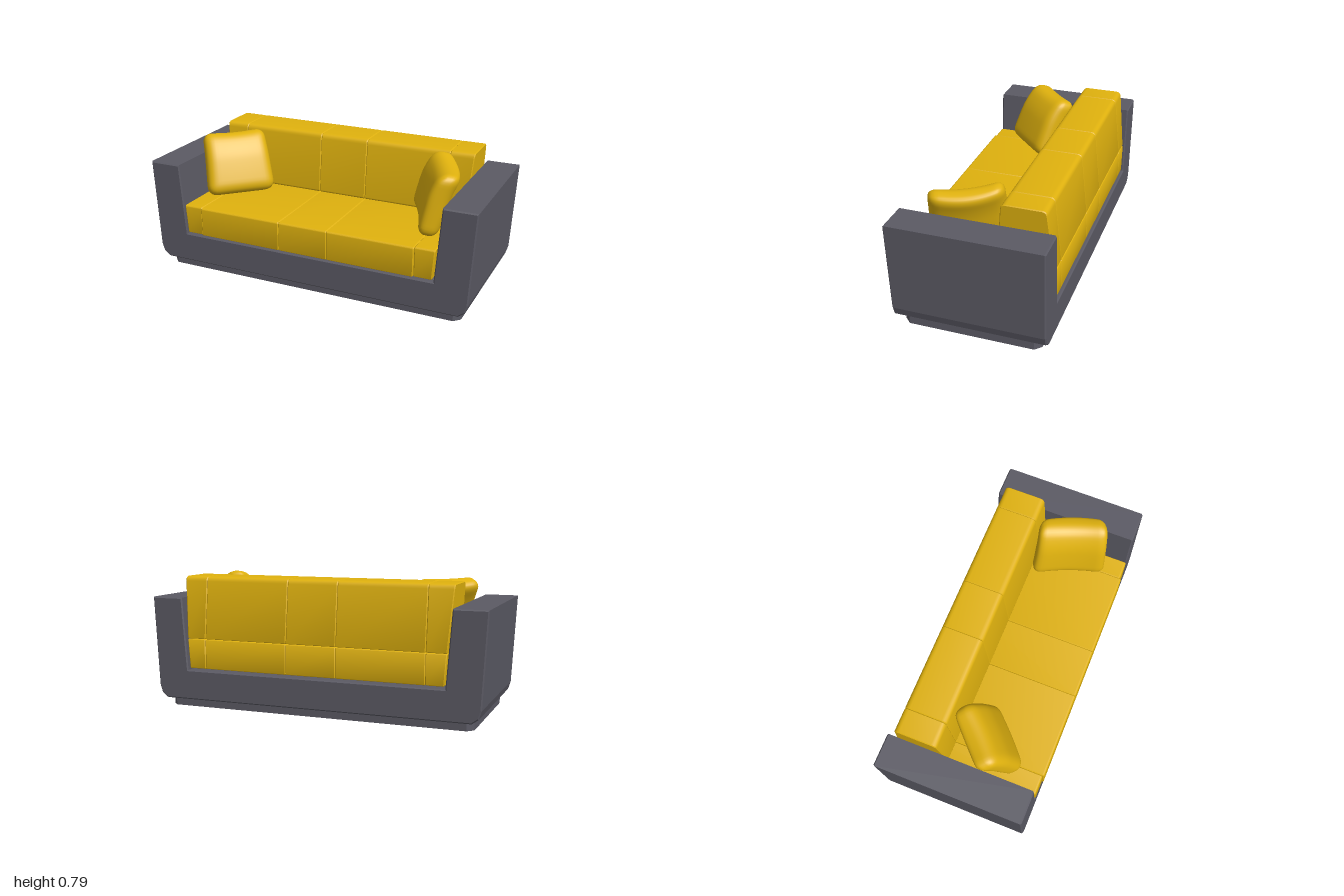
import * as THREE from 'three';
import { mergeVertices, toCreasedNormals } from 'three/addons/utils/BufferGeometryUtils.js';

const grey = new THREE.MeshStandardMaterial({ color: 0x5b5a64 });
grey.name = 'charcoal fabric';
const yellow = new THREE.MeshStandardMaterial({ color: 0xe0b20e });
yellow.name = 'mustard fabric';

function mesh(name, geometry, material) {
  const m = new THREE.Mesh(geometry, material);
  m.name = name;
  return m;
}

// Extrudes an outline to an exact depth, with small chamfers cut inside it
function extrude(shape, depth, bevel) {
  return new THREE.ExtrudeGeometry(shape, {
    depth: depth - 2 * bevel, bevelEnabled: bevel > 0, bevelSize: bevel, bevelThickness: bevel,
    bevelOffset: -bevel, bevelSegments: 1, curveSegments: 4,
  }).translate(0, 0, bevel);
}

const outline = (points) => new THREE.Shape(points.map(([x, y]) => new THREE.Vector2(x, y)));

// Polygon with every corner rounded by its own radius: [x, y, radius]
function roundedOutline(points) {
  const s = new THREE.Shape();
  const n = points.length;
  points.forEach(([x, y, r], i) => {
    const p = new THREE.Vector2(x, y);
    const toward = (q) => new THREE.Vector2(q[0], q[1]).sub(p).setLength(r).add(p);
    const a = toward(points[(i + n - 1) % n]);
    const b = toward(points[(i + 1) % n]);
    if (i) s.lineTo(a.x, a.y); else s.moveTo(a.x, a.y);
    s.quadraticCurveTo(x, y, b.x, b.y);
  });
  s.closePath();
  return s;
}

// Cushion section running along x; its outer end follows the slope of the arm
function cushion(name, shape, x0, x1) {
  const g = extrude(shape, x1 - x0, 0.005).rotateY(Math.PI / 2).translate(x0, 0, 0);
  const p = g.attributes.position;
  for (let i = 0; i < p.count; i++) {
    const x = p.getX(i);
    if (Math.abs(x) > 0.7) p.setX(i, x + Math.sign(x) * (p.getY(i) - 0.41) * 0.075);
  }
  return mesh(name, toCreasedNormals(g, 0.6), yellow);
}

// Soft pillow: rounded box, thinner at the rim, with its top curling backwards
function pillow(name, width, height, thick, bend) {
  let g = new THREE.BoxGeometry(width, height, thick, 20, 20, 8);
  g.deleteAttribute('uv');
  g.deleteAttribute('normal');
  g = mergeVertices(g);
  const p = g.attributes.position;
  const v = new THREE.Vector3();
  const r = 0.055;
  const inner = new THREE.Vector3(width / 2 - r, height / 2 - r, thick / 2 - r);
  for (let i = 0; i < p.count; i++) {
    v.fromBufferAttribute(p, i);
    const core = v.clone().clamp(inner.clone().negate(), inner);
    v.sub(core).setLength(r).add(core);
    const a = v.x / (width / 2);
    const b = v.y / (height / 2);
    v.z *= 1 - 0.12 * a * a - 0.12 * b * b;
    v.x *= 1 - 0.05 * b;
    v.y -= 0.012 * (1 - a * a) * Math.max(b, 0);
    v.z += bend * (a * a - 0.4) - 0.035 * Math.max(0, b) ** 2;
    p.setXYZ(i, v.x, v.y, v.z);
  }
  g.computeVertexNormals();
  const m = mesh(name, g, yellow);
  m.rotation.order = 'YXZ';
  return m;
}

export function createModel() {
  const sofa = new THREE.Group();
  sofa.name = 'sofa';

  // U-shaped body: two arms joined by the base
  const half = [[0.92, 0.05], [0.957, 0.077], [0.972, 0.125], [1, 0.652], [0.808, 0.652], [0.776, 0.225]];
  const mirrored = half.map(([x, y]) => [-x, y]).reverse();
  const body = mesh('bodyFrame', extrude(outline([...half, ...mirrored]), 0.865, 0.007), grey);
  body.position.z = -0.437;
  sofa.add(body);

  // Recessed plinth with cut corners
  const [px, pz, c] = [0.92, 0.392, 0.036];
  const plinthShape = outline([
    [px - c, -pz], [px, -pz + c], [px, pz - c], [px - c, pz],
    [-px + c, pz], [-px, pz - c], [-px, -pz + c], [-px + c, -pz],
  ]);
  sofa.add(mesh('plinth', extrude(plinthShape, 0.052, 0).rotateX(-Math.PI / 2), grey));

  // Seat and back, each divided by four seams; profiles use -z as their x
  const backShape = roundedOutline([
    [0.105, 0.412, 0.012], [0.422, 0.412, 0.008], [0.382, 0.776, 0.028], [0.138, 0.776, 0.03],
  ]);
  const seams = [-0.78, -0.663, -0.15, 0.15, 0.663, 0.78];
  for (let i = 0; i < 5; i++) {
    const front = i === 0 || i === 4 ? 0.428 : 0.437;
    const seatShape = roundedOutline([
      [-front, 0.236, 0.008], [0.424, 0.236, 0.008], [0.424, 0.41, 0.008], [-front, 0.41, 0.012],
    ]);
    sofa.add(cushion('seatCushion' + (i + 1), seatShape, seams[i], seams[i + 1]));
    sofa.add(cushion('backCushion' + (i + 1), backShape, seams[i], seams[i + 1]));
  }

  // Loose pillows leaning on the arms
  const right = pillow('rightPillow', 0.39, 0.385, 0.15, 0);
  right.position.set(-0.61, 0.606, 0.09);
  right.rotation.set(-0.42, 0.77, 0);
  const left = pillow('leftPillow', 0.42, 0.375, 0.14, 0.03);
  left.position.set(0.655, 0.606, 0.094);
  left.rotation.set(-0.25, -1.135, -0.08);
  sofa.add(right, left);

  return sofa;
}
